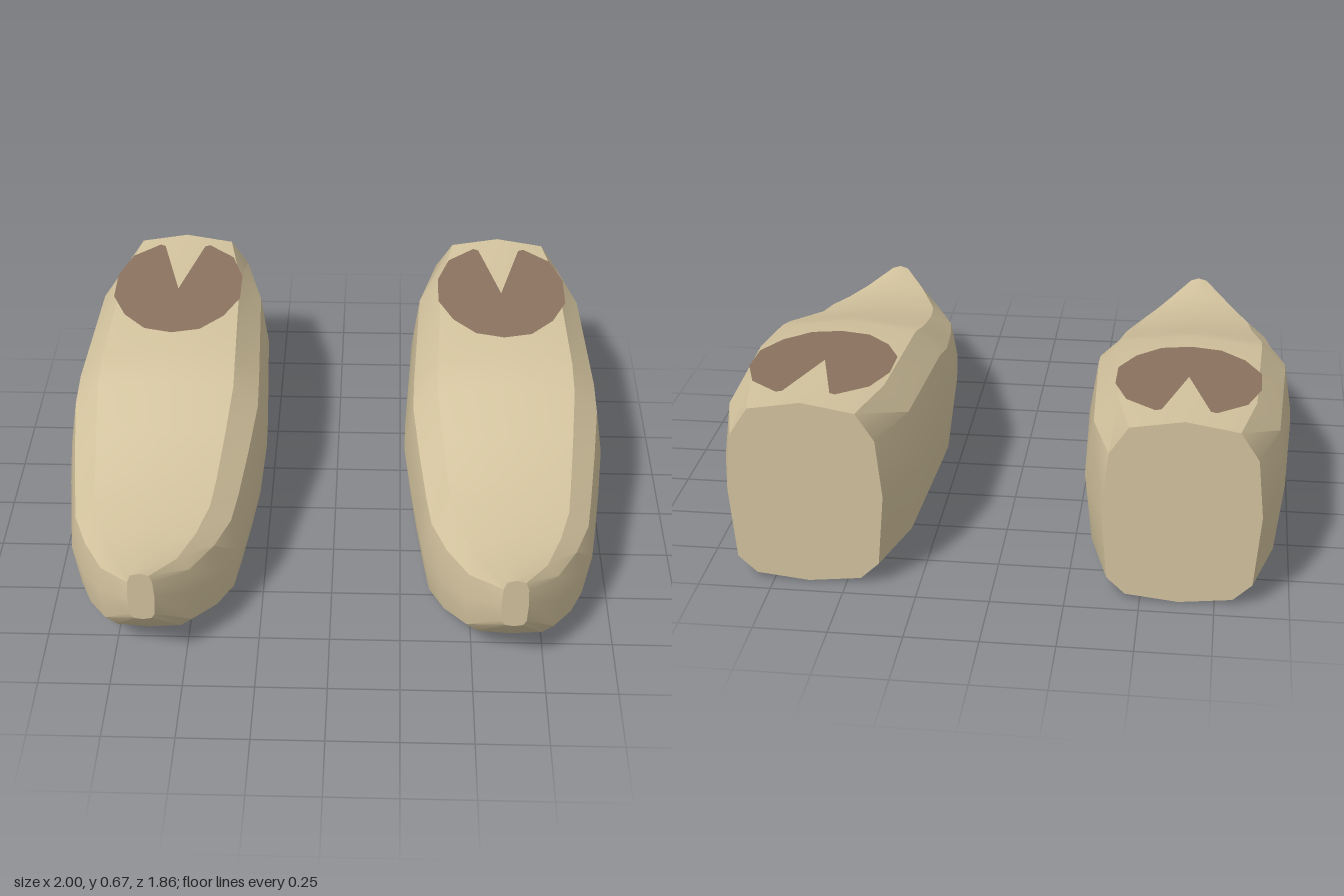
import * as THREE from 'three';
import { toCreasedNormals } from 'three/addons/utils/BufferGeometryUtils.js';

// Stations along the shoe: [z, half width, bottom y, top y]
const STATIONS = [
  [-0.93, 0.265, 0, 0.67], [-0.67, 0.34, 0, 0.657], [-0.13, 0.367, 0, 0.63],
  [0, 0.37, 0, 0.59], [0.2, 0.347, 0, 0.525], [0.4, 0.32, 0, 0.462],
  [0.53, 0.3, 0, 0.44], [0.66, 0.245, 0.03, 0.42],
  [0.8, 0.165, 0.09, 0.416], [0.93, 0.046, 0.24, 0.442],
];

// Half cross-section, top to bottom: [fraction of half width, fraction of height]
const HALF = [
  [0, 1], [0.68, 0.955], [0.92, 0.81], [1, 0.5],
  [0.92, 0.12], [0.68, 0.03], [0, 0],
];
const RING = [...HALF, ...HALF.slice(1, -1).reverse().map(([x, y]) => [-x, y])];

// Shoe body: rings lofted from heel to toe, closed by flat ends
function bodyGeometry() {
  const pos = [], index = [], n = RING.length, last = STATIONS.length - 1;
  for (const [z, w, bottom, top] of STATIONS)
    for (const [x, y] of RING) pos.push(x * w, bottom + y * (top - bottom), z);
  for (let i = 0; i < last; i++) {
    for (let j = 0; j < n; j++) {
      const k = (j + 1) % n;
      const a = i * n + j, b = i * n + k, c = b + n, d = a + n;
      index.push(a, d, b, b, d, c);
    }
  }
  for (let j = 1; j < n - 1; j++) {
    index.push(0, j, j + 1);
    index.push(last * n, last * n + j + 1, last * n + j);
  }
  const geo = new THREE.BufferGeometry();
  geo.setAttribute('position', new THREE.Float32BufferAttribute(pos, 3));
  geo.setIndex(index);
  return toCreasedNormals(geo, 0.5);
}

// Ankle opening: a flat faceted oval with a notch toward the heel
function openingGeometry() {
  const half = [
    [0.08, -0.84], [0.1, -0.85], [0.2, -0.765], [0.245, -0.63],
    [0.245, -0.48], [0.19, -0.36], [0.105, -0.272],
  ];
  const outline = [
    [0, -0.54], ...half, [0, -0.247],
    ...half.slice().reverse().map(([x, z]) => [-x, z]),
  ];
  const shape = new THREE.Shape(outline.map(([x, z]) => new THREE.Vector2(x, -z)));
  const geo = new THREE.ShapeGeometry(shape).rotateX(-Math.PI / 2);
  // Tilt it to lie just above the ridge of the shoe
  const p = geo.attributes.position;
  for (let i = 0; i < p.count; i++) p.setY(i, 0.628 - 0.05 * (p.getZ(i) + 0.13));
  geo.computeVertexNormals();
  return geo.translate(0, 0.005, 0);
}

export function createModel() {
  const model = new THREE.Group();
  model.name = 'shoes';
  const bodyGeo = bodyGeometry(), openingGeo = openingGeometry();
  const tan = new THREE.MeshStandardMaterial({ color: 0xd3c39e });
  const brown = new THREE.MeshStandardMaterial({ color: 0x8b725f, side: THREE.DoubleSide });

  for (const side of [1, -1]) {
    const shoe = new THREE.Group();
    shoe.name = side > 0 ? 'leftShoe' : 'rightShoe';
    const body = new THREE.Mesh(bodyGeo, tan);
    body.name = 'shoeBody';
    const opening = new THREE.Mesh(openingGeo, brown);
    opening.name = 'ankleOpening';
    shoe.add(body, opening);
    shoe.position.x = side * 0.63;
    model.add(shoe);
  }
  return model;
}
